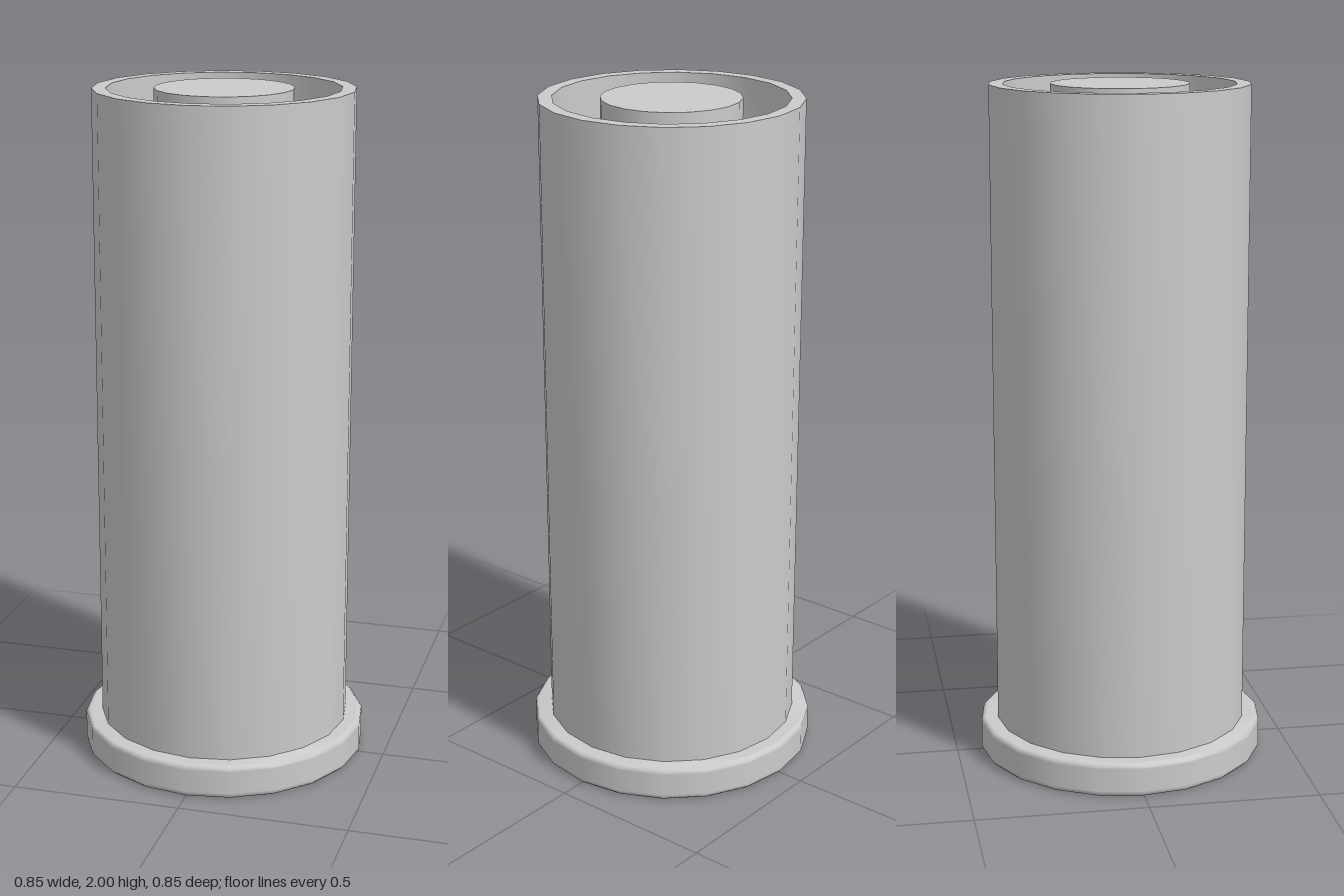
import * as THREE from 'three';
import { toCreasedNormals } from 'three/addons/utils/BufferGeometryUtils.js';

const SIDES = 20;
const material = new THREE.MeshStandardMaterial({ color: 0xcccccc });

// Turned part from [radius, height] points, listed from bottom to top along the outside
function turned(name, points) {
  const profile = points.map(([r, y]) => new THREE.Vector2(r, y));
  const geometry = toCreasedNormals(new THREE.LatheGeometry(profile, SIDES), THREE.MathUtils.degToRad(50));
  const mesh = new THREE.Mesh(geometry, material);
  mesh.name = name;
  return mesh;
}

export function createModel() {
  const group = new THREE.Group();
  group.name = 'flangedCylinder';

  const floor = 1.855;
  const bevel = 0.008;
  const flangeR = 0.425;
  const flangeH = 0.1;

  // Base flange with softened rims
  group.add(turned('baseFlange', [
    [0, 0], [flangeR - 2 * bevel, 0], [flangeR - bevel, 0],
    [flangeR, bevel], [flangeR, 2 * bevel],
    [flangeR, flangeH - 2 * bevel], [flangeR, flangeH - bevel],
    [flangeR - bevel, flangeH], [flangeR - 2 * bevel, flangeH], [0, flangeH],
  ]));

  // Tall body: outer wall, thin lip, and recessed floor
  group.add(turned('body', [
    [0.375, flangeH], [0.375, 2], [0.335, 2], [0.335, floor], [0, floor],
  ]));

  // Central plug standing in the recess, level with the lip
  group.add(turned('centrePlug', [[0.2, floor], [0.2, 2], [0, 2]]));

  return group;
}
